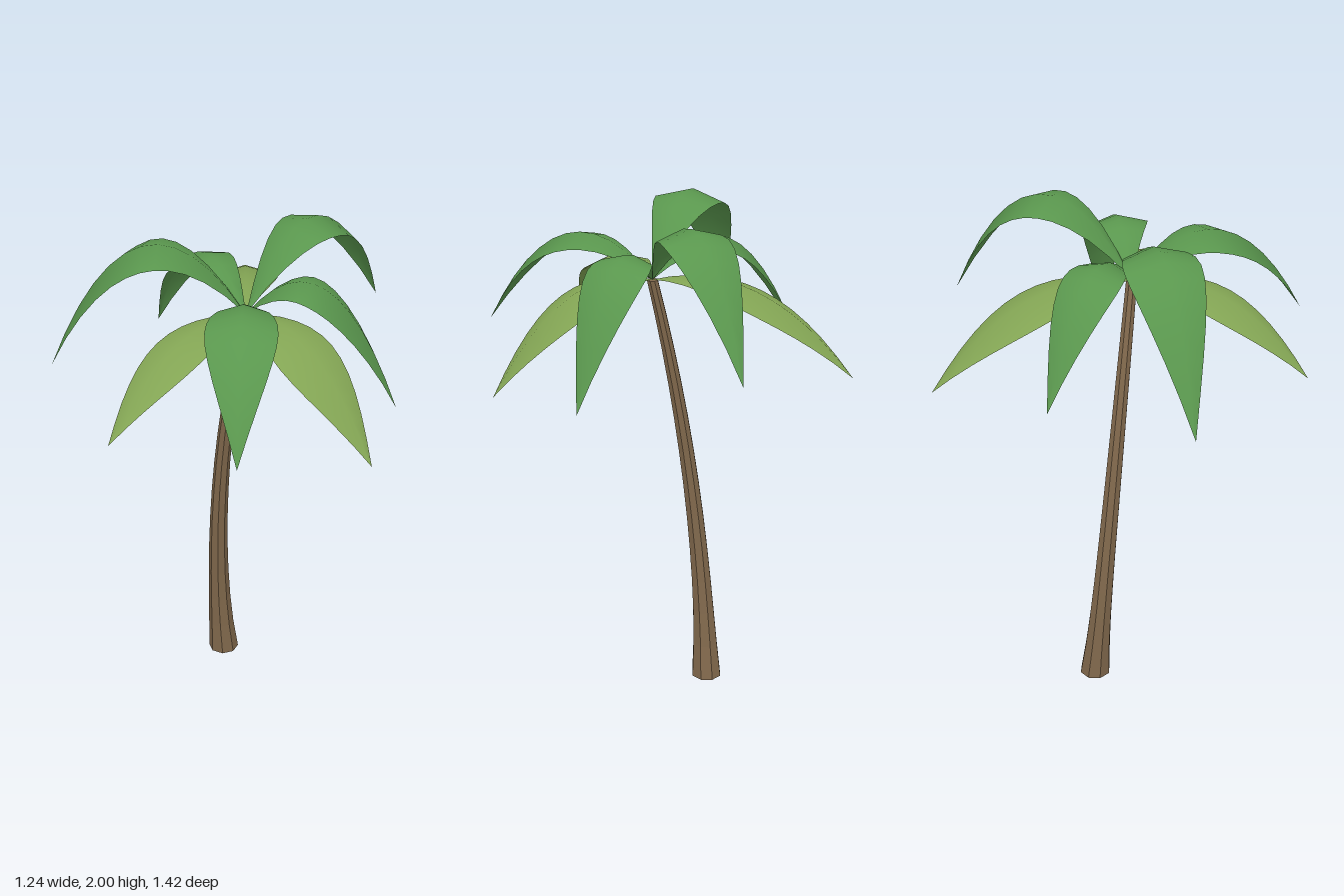
import * as THREE from 'three';

const TOP = 1.72;            // height of the crown
const CROWN = { x: -0.03, z: 0.015 };

// Tapered trunk, bent along a gentle curve and flared at the foot
function trunkGeometry() {
  const geo = new THREE.CylinderGeometry(1, 1, TOP, 8, 12);
  geo.translate(0, TOP / 2, 0);
  const p = geo.attributes.position;
  for (let i = 0; i < p.count; i++) {
    const t = p.getY(i) / TOP;
    const r = 0.045 - 0.023 * t + 0.017 * Math.pow(Math.max(0, 1 - t), 8);
    p.setX(i, p.getX(i) * r - 0.25 + 0.22 * t * t);
    p.setZ(i, p.getZ(i) * r - 0.045 + 0.16 * t - 0.1 * t * t);
  }
  geo.computeVertexNormals();
  return geo;
}

// Arched lens-shaped leaf with a slight fold along its middle
function leafGeometry([tipX, tipY, tipZ], peakY, halfWidth) {
  const dx = tipX - CROWN.x, dz = tipZ - CROWN.z;
  const length = Math.hypot(dx, dz);
  const ux = dx / length, uz = dz / length;

  // Middle control point chosen so the arch reaches peakY
  const rise = peakY - TOP;
  const lift = rise + Math.sqrt(rise * rise + rise * (TOP - tipY));
  const arch = new THREE.QuadraticBezierCurve(
    new THREE.Vector2(0, TOP),
    new THREE.Vector2(length * 0.53, TOP + lift),
    new THREE.Vector2(length, tipY)
  );

  const steps = 12, pos = [], index = [];
  for (let i = 0; i <= steps; i++) {
    const t = i / steps;
    const c = arch.getPoint(t), tan = arch.getTangent(t);
    const w = halfWidth * Math.sin(Math.PI * t);
    for (const s of [-1, 0, 1]) {
      const drop = 0.3 * w * Math.abs(s);
      const along = c.x + tan.y * drop;
      pos.push(
        CROWN.x + ux * along - uz * w * s,
        c.y - tan.x * drop,
        CROWN.z + uz * along + ux * w * s
      );
    }
  }
  for (let i = 0; i < steps; i++) {
    for (let j = 0; j < 2; j++) {
      const a = i * 3 + j, b = a + 1, c = a + 3, d = a + 4;
      index.push(a, b, c, b, d, c);
    }
  }
  const geo = new THREE.BufferGeometry();
  geo.setAttribute('position', new THREE.Float32BufferAttribute(pos, 3));
  geo.setIndex(index);
  geo.computeVertexNormals();
  return geo;
}

export function createModel() {
  const bark = new THREE.MeshStandardMaterial({ color: 0x80684c, flatShading: true });
  bark.name = 'bark brown';
  const green = new THREE.MeshStandardMaterial({ color: 0x5a974e, side: THREE.DoubleSide });
  green.name = 'leaf green';
  const light = new THREE.MeshStandardMaterial({ color: 0x83a554, side: THREE.DoubleSide });
  light.name = 'light leaf green';

  const model = new THREE.Group();
  model.name = 'palmTree';

  const trunk = new THREE.Mesh(trunkGeometry(), bark);
  trunk.name = 'trunk';
  model.add(trunk);

  // Leaves: name, tip, peak height, half width, colour
  const leaves = [
    ['backLeaf', [-0.07, 1.54, -0.715], 2.0, 0.128, green],
    ['frontRightLeaf', [-0.572, 1.47, 0.52], 1.99, 0.138, green],
    ['frontLeftLeaf', [0.462, 1.48, 0.497], 1.875, 0.13, green],
    ['backLeftLeaf', [0.412, 1.37, -0.345], 1.87, 0.122, green],
    ['rightLeaf', [-0.612, 1.45, -0.035], 1.875, 0.113, green],
    ['frontLeaf', [0.01, 1.455, 0.706], 1.755, 0.11, light],
    ['leftLeaf', [0.618, 1.35, -0.01], 1.75, 0.132, light],
    ['backRightLeaf', [-0.62, 1.42, -0.503], 1.755, 0.128, light],
  ];
  const crown = new THREE.Group();
  crown.name = 'crown';
  for (const [name, tip, peak, half, material] of leaves) {
    const leaf = new THREE.Mesh(leafGeometry(tip, peak, half), material);
    leaf.name = name;
    crown.add(leaf);
  }
  model.add(crown);
  return model;
}
